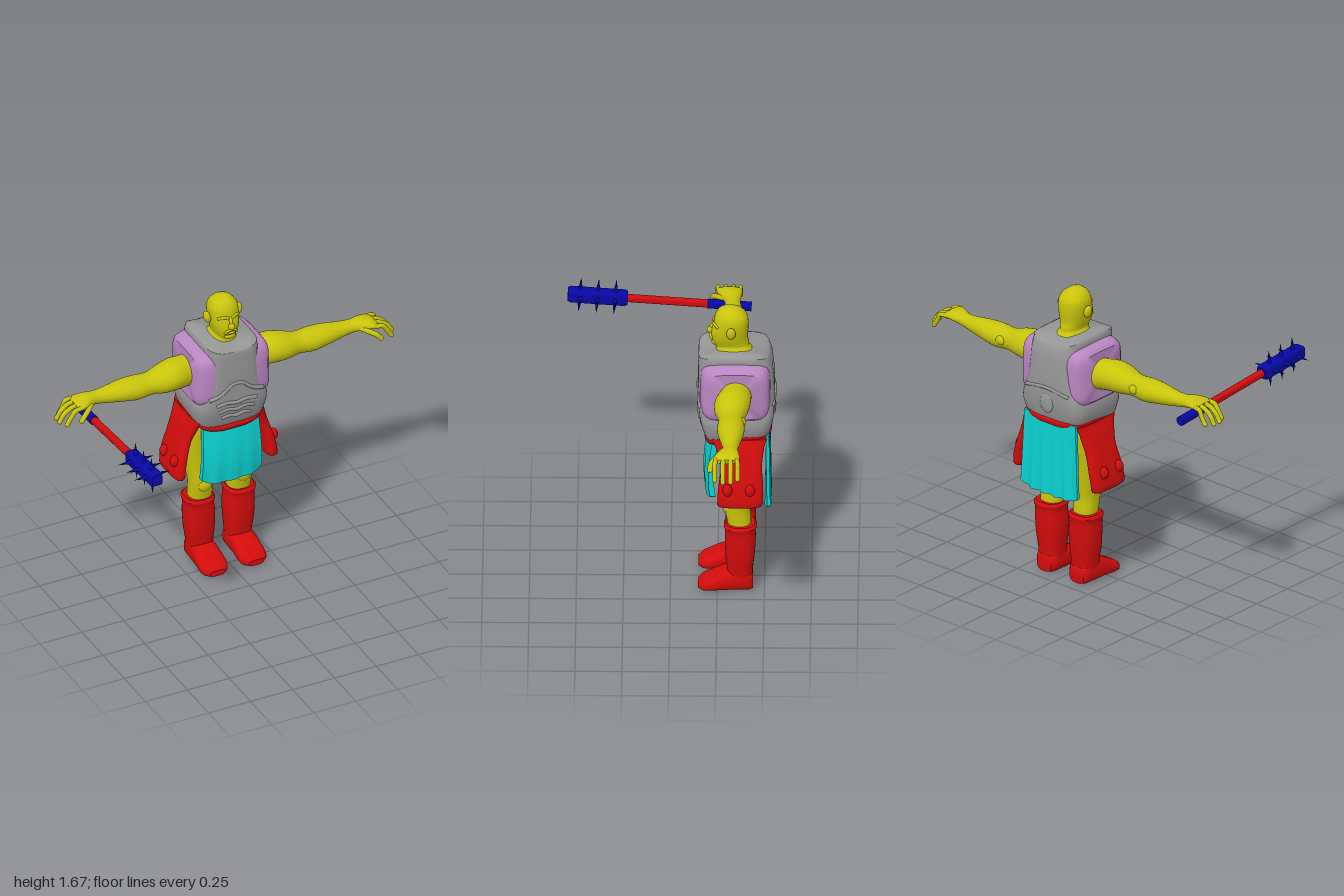
import * as THREE from 'three';
import { toCreasedNormals } from 'three/addons/utils/BufferGeometryUtils.js';

const mat = (name, color, side = THREE.FrontSide) => new THREE.MeshStandardMaterial({ name, color, side });

// Axis orders: [lengthwise, first radius, second radius]
const AXES = { x: [0, 2, 1], y: [1, 0, 2], z: [2, 1, 0] };

// Smooth loft through sections [t, c1, c2, r1, r2], superelliptic with power p
function loft(axis, sections, p = 2, warp = null, sub = 3, n = 32) {
  const at = (i) => sections[Math.min(Math.max(i, 0), sections.length - 1)];
  const rows = [];
  for (let i = 0; i < sections.length - 1; i++) {
    for (let k = 0; k < sub; k++) {
      const u = k / sub;
      rows.push(at(i).map((b, c) => {
        const a = at(i - 1)[c], d = at(i + 1)[c], e = at(i + 2)[c];
        if (c === 0) return b + (d - b) * u;
        return b + 0.5 * u * (d - a + u * (2 * a - 5 * b + 4 * d - e + u * (3 * (b - d) + e - a)));
      }));
    }
  }
  rows.push(at(sections.length - 1));
  const pos = [], idx = [], [A, B, C] = AXES[axis];
  const put = (t, b, c) => {
    const v = [0, 0, 0];
    v[A] = t; v[B] = b; v[C] = c;
    pos.push(...v);
  };
  const pw = (v) => Math.sign(v) * Math.abs(v) ** (2 / p);
  for (const [t, c1, c2, r1, r2] of rows) {
    for (let j = 0; j < n; j++) {
      const a = ((j + 0.5) / n) * Math.PI * 2;
      put(t, c1 + r1 * pw(Math.cos(a)), c2 + r2 * pw(Math.sin(a)));
    }
  }
  const first = rows[0], last = rows[rows.length - 1], m = rows.length * n;
  put(first[0], first[1], first[2]);
  put(last[0], last[1], last[2]);
  for (let j = 0; j < n; j++) {
    const k = (j + 1) % n, top = m - n;
    for (let i = 0; i < rows.length - 1; i++) {
      const a = i * n + j, b = a + n, c = i * n + k, d = c + n;
      idx.push(a, b, c, b, d, c);
    }
    idx.push(m, j, k, m + 1, top + k, top + j);
  }
  const g = new THREE.BufferGeometry();
  g.setAttribute('position', new THREE.Float32BufferAttribute(pos, 3));
  g.setIndex(idx);
  return finish(g, warp);
}

// Moves vertices by a rule and restores normals
function finish(g, warp) {
  const P = g.attributes.position, v = new THREE.Vector3();
  for (let i = 0; warp && i < P.count; i++) {
    warp(v.fromBufferAttribute(P, i));
    P.setXYZ(i, v.x, v.y, v.z);
  }
  return toCreasedNormals(g, 0.8);
}

const tube = (pts, r) => new THREE.TubeGeometry(
  new THREE.CatmullRomCurve3(pts.map((p) => new THREE.Vector3(...p))), 16, r, 8);

export function createModel() {
  const root = new THREE.Group();
  root.name = 'armouredWarrior';
  const skin = mat('olive skin', 0xc8c40c), red = mat('red leather', 0xd20c0c);
  const cyan = mat('cyan cloth', 0x0cd2d2, THREE.DoubleSide), blue = mat('blue metal', 0x0808a8);
  const grey = mat('grey armour', 0x969696), pink = mat('lilac padding', 0xba86c2);
  const white = mat('eye white', 0xdcd4dc);

  const add = (name, geo, m, parent = root) => {
    const mesh = new THREE.Mesh(geo, m);
    mesh.name = name;
    parent.add(mesh);
    return mesh;
  };
  const ball = (name, m, x, y, z, rx, ry, rz, parent = root) => {
    const b = add(name, new THREE.SphereGeometry(1, 20, 14), m, parent);
    b.position.set(x, y, z);
    b.scale.set(rx, ry, rz);
    return b;
  };

  // Head and neck
  add('head', loft('y', [
    [1.37, 0, -0.34, 0.11, 0.11], [1.41, 0, -0.34, 0.09, 0.1], [1.44, 0, -0.33, 0.06, 0.088],
    [1.455, 0, -0.322, 0.058, 0.095], [1.49, 0, -0.313, 0.069, 0.097], [1.53, 0, -0.315, 0.077, 0.098],
    [1.58, 0, -0.322, 0.081, 0.092], [1.62, 0, -0.322, 0.076, 0.085], [1.65, 0, -0.318, 0.056, 0.064],
    [1.668, 0, -0.314, 0.03, 0.036], [1.675, 0, -0.312, 0.006, 0.008]], 2.3), skin);
  ball('nose', skin, 0, 1.53, -0.212, 0.018, 0.02, 0.02);
  add('noseBridge', tube([[0, 1.575, -0.236], [0, 1.555, -0.22], [0, 1.53, -0.208]], 0.01), skin);
  ball('chin', skin, 0, 1.462, -0.235, 0.034, 0.018, 0.02);
  add('moustache', tube([[-0.036, 1.488, -0.222], [-0.02, 1.506, -0.212], [0, 1.51, -0.209],
    [0.02, 1.506, -0.212], [0.036, 1.488, -0.222]], 0.007), skin);
  ball('lowerLip', skin, 0, 1.488, -0.216, 0.024, 0.007, 0.009);

  // Breastplate, rising at the shoulders and dipping at the front of the waist
  add('breastplate', loft('y', [
    [0.93, 0, -0.36, 0.19, 0.165], [0.97, 0, -0.357, 0.205, 0.18], [1.04, 0, -0.352, 0.216, 0.196],
    [1.1, 0, -0.352, 0.207, 0.202], [1.16, 0, -0.352, 0.178, 0.203], [1.25, 0, -0.35, 0.158, 0.204],
    [1.36, 0, -0.345, 0.152, 0.198], [1.405, 0, -0.338, 0.148, 0.188], [1.418, 0, -0.338, 0.128, 0.168]],
  5, (v) => {
    if (v.y > 1.35) v.y += 0.025 * Math.min(1, (v.x / 0.14) ** 2) * (v.y - 1.35) / 0.06;
    if (v.y < 1.04) v.y += (1.04 - v.y) * (-0.35 - v.z + 2.5 * v.x * v.x) * 1.2;
  }), grey);
  add('chestEdge', tube([[-0.16, 1.13, -0.16], [-0.1, 1.15, -0.153], [-0.06, 1.18, -0.151], [-0.03, 1.205, -0.15],
    [0.03, 1.205, -0.15], [0.06, 1.18, -0.151], [0.1, 1.15, -0.153], [0.16, 1.13, -0.16]], 0.011), grey);
  [[1.1, 0.12, -0.153], [1.055, 0.105, -0.158], [1.01, 0.085, -0.166]].forEach(([y, w, z]) =>
    add('bellyRidge', tube([[-w, y - 0.015, z - 0.004], [-w / 2, y - 0.005, z], [0, y - 0.015, z],
      [w / 2, y - 0.005, z], [w, y - 0.015, z - 0.004]], 0.012), grey));
  ball('backBoss', grey, 0, 1.07, -0.55, 0.045, 0.055, 0.012);
  add('backRidge', tube([[-0.15, 1.14, -0.545], [-0.05, 1.16, -0.553], [0.05, 1.16, -0.553], [0.15, 1.14, -0.545]], 0.01), grey);

  // Belt, tilted down toward the front
  add('belt', loft('y', [
    [0.905, 0, -0.36, 0.185, 0.155], [0.92, 0, -0.36, 0.2, 0.175], [0.945, 0, -0.36, 0.205, 0.18],
    [0.96, 0, -0.36, 0.19, 0.165]], 4, (v) => {
    v.y += (-0.36 - v.z) * 0.13 + v.x * v.x * 0.7;
  }), red);

  // Front and back cloths
  const cloth = (name, top, bottom, wTop, wBottom, zAt, thick) => {
    const g = new THREE.BoxGeometry(1, top - bottom, thick, 40, 14, 1);
    g.translate(0, (top + bottom) / 2, 0);
    add(name, finish(g, (v) => {
      const d = (top - v.y) / (top - bottom), x = v.x * 2;
      v.x = x * (wTop + (wBottom - wTop) * d);
      v.y += Math.max(0, d - 0.8) * 0.15 * x ** 6;
      v.z += zAt(x, d);
    }), cyan);
  };
  cloth('frontCloth', 0.92, 0.57, 0.165, 0.18,
    (x, d) => -0.212 + 0.02 * Math.sin(d * 2.6) - 0.025 * x * x + 0.004 * d * Math.cos(x * 11), 0.03);
  cloth('backCloth', 0.975, 0.525, 0.18, 0.2,
    (x, d) => -0.522 + 0.008 * d * Math.cos(x * 16) + 0.006 * x * x, 0.018);

  // Paired parts, built on the model's left and mirrored
  for (const s of [1, -1]) {
    const side = new THREE.Group();
    side.name = s > 0 ? 'leftSide' : 'rightSide';
    side.scale.x = s;
    root.add(side);

    // Face
    ball('ear', skin, 0.092, 1.555, -0.322, 0.02, 0.036, 0.025, side).rotation.z = -0.2;
    ball('eye', white, 0.034, 1.56, -0.238, 0.015, 0.007, 0.005, side).rotation.y = 0.35;
    add('brow', tube([[0.008, 1.573, -0.23], [0.034, 1.582, -0.233], [0.062, 1.57, -0.256]], 0.008), skin, side);

    // Padding around the armhole
    add('sidePadding', loft('x', [
      [0.1, -0.345, 1.235, 0.187, 0.165], [0.15, -0.345, 1.235, 0.185, 0.163], [0.195, -0.345, 1.235, 0.172, 0.152],
      [0.212, -0.345, 1.235, 0.15, 0.135]], 5, (v) => {
      if (v.y < 1.2) v.x += (1.2 - v.y) * 0.08;
    }), pink, side);

    // Arm with palm
    add('arm', loft('x', [
      [0.15, -0.355, 1.235, 0.08, 0.095], [0.22, -0.345, 1.238, 0.086, 0.086], [0.29, -0.332, 1.245, 0.095, 0.084],
      [0.36, -0.325, 1.24, 0.088, 0.076], [0.44, -0.325, 1.232, 0.066, 0.06], [0.52, -0.325, 1.23, 0.073, 0.065],
      [0.6, -0.325, 1.235, 0.067, 0.058], [0.7, -0.325, 1.237, 0.048, 0.044], [0.77, -0.322, 1.242, 0.042, 0.035],
      [0.82, -0.313, 1.25, 0.058, 0.032], [0.87, -0.305, 1.25, 0.07, 0.024], [0.895, -0.305, 1.245, 0.062, 0.013]]),
    skin, side);
    ball('elbow', skin, 0.47, 1.235, -0.385, 0.03, 0.026, 0.02, side);
    const finger = (name, pts, r) => {
      add(name, tube(pts, r), skin, side);
      ball(name + 'Tip', skin, ...pts[pts.length - 1], r, r, r, side);
    };
    [[-0.358, 0.955], [-0.325, 0.985], [-0.288, 0.988], [-0.25, 0.965]].forEach(([z, tip]) => {
      const w = (z + 0.305) * 0.12;
      finger('finger', [[0.86, 1.248, z], [0.915, 1.243, z + w], [tip - 0.025, 1.212, z + w], [tip, 1.172, z + w]], 0.013);
    });
    finger('thumb', [[0.8, 1.242, -0.28], [0.835, 1.23, -0.245], [0.87, 1.212, -0.222], [0.89, 1.19, -0.217]], 0.015);

    // Leg
    add('leg', loft('y', [
      [0.36, 0.118, -0.37, 0.06, 0.06], [0.43, 0.115, -0.365, 0.066, 0.065], [0.5, 0.115, -0.355, 0.067, 0.069],
      [0.56, 0.112, -0.36, 0.077, 0.072], [0.66, 0.107, -0.365, 0.092, 0.08], [0.78, 0.105, -0.365, 0.1, 0.1],
      [0.9, 0.1, -0.36, 0.1, 0.13], [0.95, 0.095, -0.36, 0.09, 0.12]], 2.3), skin, side);
    ball('kneecap', skin, 0.115, 0.505, -0.3, 0.042, 0.04, 0.024, side);

    // Boot
    add('bootShaft', loft('y', [
      [0.05, 0.115, -0.37, 0.068, 0.065], [0.13, 0.115, -0.37, 0.072, 0.069], [0.2, 0.117, -0.37, 0.08, 0.077],
      [0.3, 0.118, -0.372, 0.084, 0.082], [0.375, 0.121, -0.372, 0.08, 0.082], [0.4, 0.122, -0.372, 0.087, 0.088],
      [0.412, 0.122, -0.372, 0.076, 0.077]], 2.6), red, side);
    add('bootFoot', loft('z', [
      [-0.44, 0.055, 0.115, 0.045, 0.05], [-0.42, 0.065, 0.115, 0.06, 0.066], [-0.35, 0.07, 0.115, 0.066, 0.072],
      [-0.28, 0.063, 0.115, 0.058, 0.075], [-0.22, 0.047, 0.115, 0.042, 0.079], [-0.175, 0.036, 0.115, 0.03, 0.072],
      [-0.148, 0.03, 0.115, 0.017, 0.045]], 2.8), red, side);

    // Hip guard with two studs
    add('hipGuard', loft('y', [
      [0.6, 0.272, -0.37, 0.03, 0.112], [0.61, 0.275, -0.37, 0.036, 0.12], [0.7, 0.262, -0.375, 0.034, 0.12],
      [0.82, 0.228, -0.378, 0.032, 0.11], [0.92, 0.195, -0.37, 0.03, 0.13], [0.965, 0.18, -0.365, 0.026, 0.15]], 3),
    red, side);
    [-0.305, -0.425].forEach((z) => ball('hipStud', red, 0.293, 0.705, z, 0.027, 0.034, 0.026, side));
  }

  // Spiked mace in the right hand, pointing forward
  const mace = new THREE.Group();
  mace.name = 'mace';
  mace.position.set(-0.83, 1.235, 0.4);
  mace.rotation.x = -0.075;
  root.add(mace);
  const rod = (name, r, z0, z1, m) => {
    const g = new THREE.CylinderGeometry(r, r, z1 - z0, 16).rotateX(Math.PI / 2);
    add(name, toCreasedNormals(g, 0.8), m, mace).position.z = (z0 + z1) / 2;
  };
  rod('maceGrip', 0.026, -0.825, -0.59, blue);
  rod('maceShaft', 0.022, -0.6, -0.15, red);
  add('maceHead', loft('z', [
    [-0.165, 0, 0, 0.03, 0.03], [-0.15, 0, 0, 0.036, 0.036], [0.14, 0, 0, 0.036, 0.036], [0.155, 0, 0, 0.03, 0.03]],
  6, null, 1), blue, mace);
  for (const z of [-0.098, -0.004, 0.09]) {
    for (let i = 0; i < 4; i++) {
      const g = new THREE.ConeGeometry(0.013, 0.08, 8).translate(0, 0.068, 0).rotateZ(i * Math.PI / 2);
      add('maceSpike', g, blue, mace).position.z = z;
    }
  }
  return root;
}
